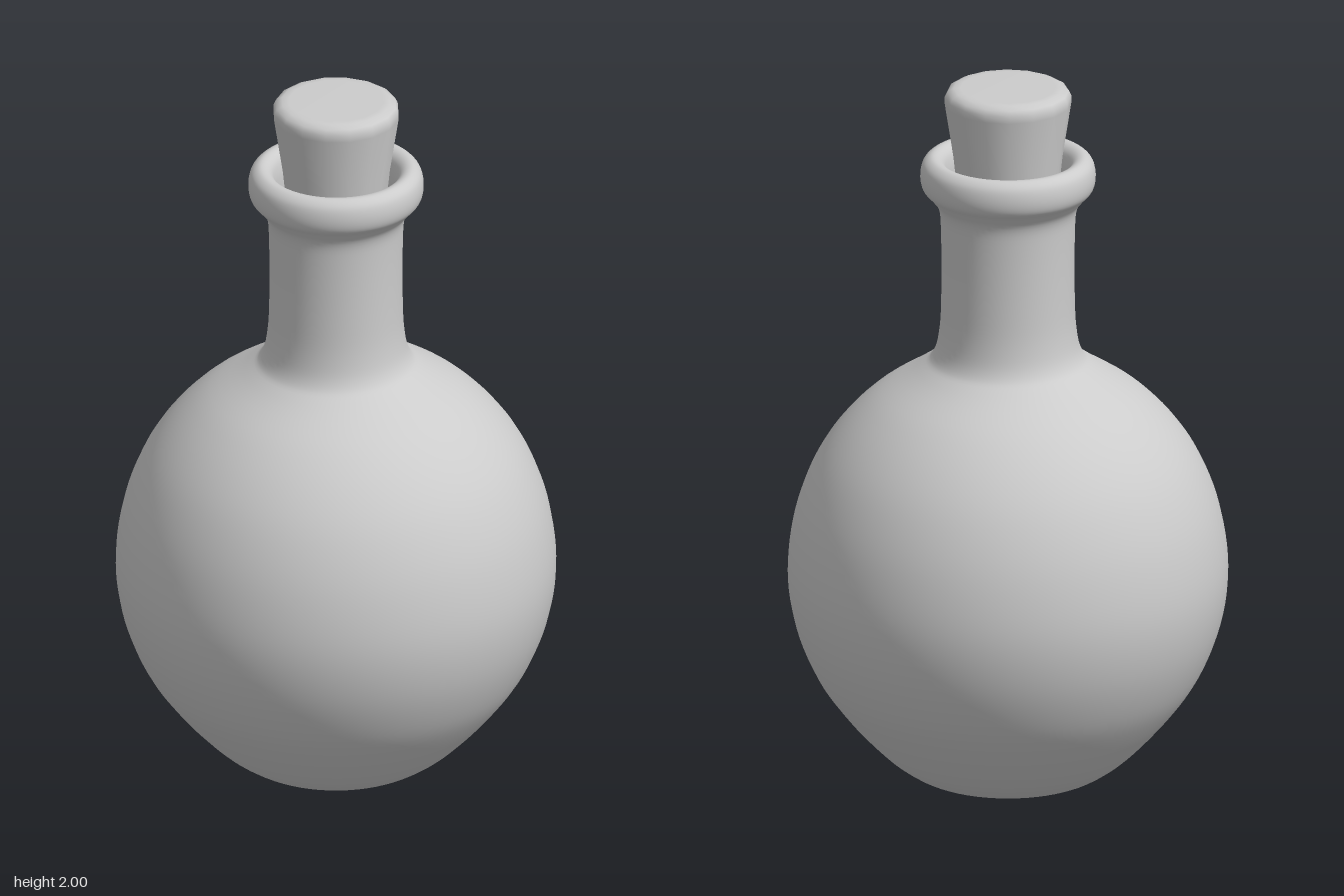
import * as THREE from 'three';

const material = new THREE.MeshStandardMaterial({ color: 0xcccccc, side: THREE.DoubleSide });
const vectors = (pairs) => pairs.map(([r, y]) => new THREE.Vector2(r, y));

function turned(name, points, sides) {
  const mesh = new THREE.Mesh(new THREE.LatheGeometry(points, sides), material);
  mesh.name = name;
  return mesh;
}

export function createModel() {
  const group = new THREE.Group();
  group.name = 'corkedBottle';

  // Bottle: flat foot, round belly, straight neck, rolled lip and inner throat
  const profile = new THREE.SplineCurve(vectors([
    [0, 0], [0.16, 0.001], [0.24, 0.013], [0.3, 0.045], [0.365, 0.1], [0.455, 0.2],
    [0.53, 0.31], [0.585, 0.45], [0.605, 0.6], [0.585, 0.76], [0.535, 0.9],
    [0.465, 1.01], [0.37, 1.105], [0.25, 1.185], [0.206, 1.225], [0.188, 1.3],
    [0.183, 1.42], [0.184, 1.58], [0.19, 1.65], [0.212, 1.685], [0.235, 1.712],
    [0.241, 1.747], [0.233, 1.782], [0.21, 1.8], [0.185, 1.793], [0.169, 1.765],
    [0.162, 1.7], [0.16, 1.5],
  ]));
  group.add(turned('bottle', profile.getPoints(135), 64));

  // Cork: tapered plug with a softened top edge
  const cork = turned('cork', vectors([
    [0, 1.55], [0.115, 1.55], [0.126, 1.57], [0.15, 1.8], [0.174, 1.955],
    [0.174, 1.975], [0.167, 1.99], [0.15, 1.999], [0.13, 2], [0, 2],
  ]), 16);
  cork.rotation.y = Math.PI / 16;
  group.add(cork);

  return group;
}
